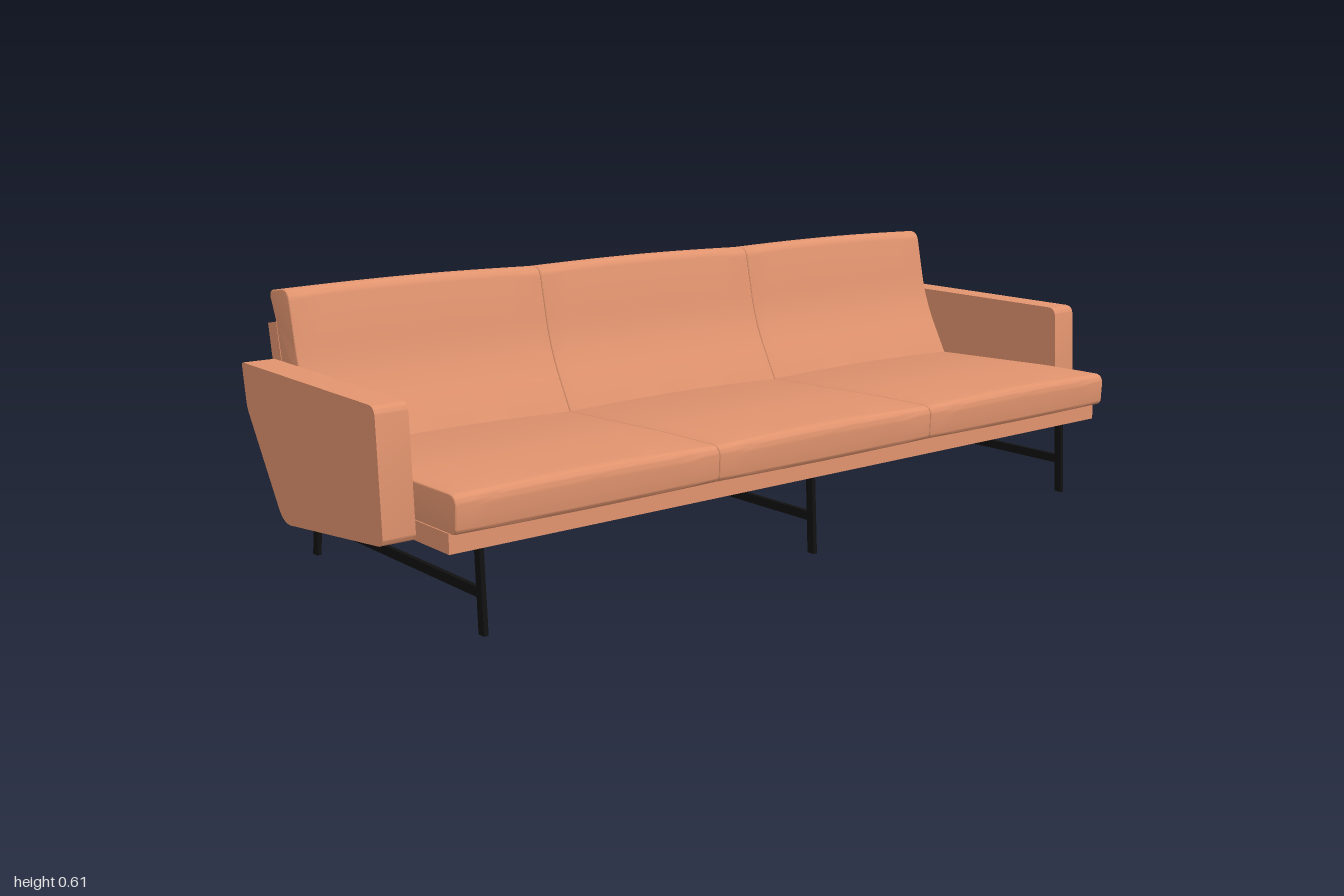
import * as THREE from 'three';
import { toCreasedNormals } from 'three/addons/utils/BufferGeometryUtils.js';

const leather = new THREE.MeshStandardMaterial({ color: 0xe0936e });
const steel = new THREE.MeshStandardMaterial({ color: 0x111111 });

// Side profile from [z, y, cornerRadius] points
function profile(points) {
  const shape = new THREE.Shape();
  const n = points.length;
  const vec = (p) => new THREE.Vector2(-p[0], p[1]);
  points.forEach((p, i) => {
    const c = vec(p), r = p[2] || 0;
    const toward = (q) => c.clone().add(vec(q).sub(c).setLength(r));
    const a = r ? toward(points[(i + n - 1) % n]) : c;
    if (i === 0) shape.moveTo(a.x, a.y);
    else shape.lineTo(a.x, a.y);
    if (r) {
      const b = toward(points[(i + 1) % n]);
      shape.quadraticCurveTo(c.x, c.y, b.x, b.y);
    }
  });
  shape.closePath();
  return shape;
}

// Extrude a side profile across x, centred on x = 0
function across(points, width, bevel = 0, steps = 1) {
  const g = new THREE.ExtrudeGeometry(profile(points), {
    depth: width - 2 * bevel, steps, curveSegments: 8,
    bevelEnabled: bevel > 0, bevelSize: bevel, bevelOffset: -bevel,
    bevelThickness: bevel, bevelSegments: 3,
  });
  g.translate(0, 0, -(width - 2 * bevel) / 2);
  return g.rotateY(Math.PI / 2);
}

// Let a cushion swell towards the middle of its width
function swell(g, width, rule) {
  const p = g.attributes.position;
  const v = new THREE.Vector3();
  for (let i = 0; i < p.count; i++) {
    v.fromBufferAttribute(p, i);
    rule(v, Math.max(0, Math.cos((v.x / width) * Math.PI)));
    p.setXYZ(i, v.x, v.y, v.z);
  }
  return g;
}

export function createModel() {
  const sofa = new THREE.Group();
  sofa.name = 'sofa';

  function add(name, geometry, material, x = 0) {
    const mesh = new THREE.Mesh(toCreasedNormals(geometry, 0.5), material);
    mesh.name = name;
    mesh.position.x = x;
    sofa.add(mesh);
  }

  // Upholstered shell: seat board, sloping underside and back panel
  add('shell', across([
    [0.345, 0.22], [0.345, 0.18], [0.22, 0.18], [-0.185, 0.139, 0.03],
    [-0.343, 0.355, 0.01], [-0.372, 0.523], [-0.333, 0.53], [-0.3, 0.36], [-0.2, 0.22],
  ], 1.86), leather);

  // Armrests
  const arm = [
    [0.213, 0.445, 0.022], [0.226, 0.18, 0.018], [-0.194, 0.135, 0.035],
    [-0.342, 0.355, 0.015], [-0.357, 0.449, 0.008],
  ];
  for (const side of [-1, 1]) {
    add(side > 0 ? 'leftArm' : 'rightArm', across(arm, 0.07), leather, side * 0.965);
  }

  // Three seat and three back cushions
  const w = 0.62;
  const seat = [
    [0.37, 0.22, 0.015], [0.374, 0.297, 0.025], [0.2, 0.296, 0.03],
    [-0.2, 0.282, 0.02], [-0.2, 0.22],
  ];
  const back = [
    [-0.15, 0.265, 0.01], [-0.235, 0.42, 0.07], [-0.274, 0.606, 0.028],
    [-0.363, 0.593, 0.02], [-0.334, 0.53, 0.02], [-0.3, 0.36], [-0.2, 0.23],
  ];
  for (let i = -1; i <= 1; i++) {
    add('seatCushion', swell(across(seat, w, 0.004, 16), w, (v, b) => {
      v.y += 0.1 * b * (v.y - 0.22);
      if (v.z > 0) v.z += 0.02 * b * v.z;
    }), leather, i * w);
    add('backCushion', swell(across(back, w, 0.004, 16), w, (v, b) => {
      v.y += 0.015 * b * Math.max(0, v.y - 0.26);
      if (v.z > -0.29) v.z += 0.005 * b;
    }), leather, i * w);
  }

  // Steel frame: three leg pairs joined by rails
  const t = 0.01;
  for (const x of [-0.845, 0, 0.845]) {
    add('frontLeg', across([[0.327, 0], [0.307, 0], [0.299, 0.18], [0.318, 0.18]], t), steel, x);
    add('backLeg', across([[-0.36, 0], [-0.38, 0], [-0.326, 0.35], [-0.311, 0.33]], t), steel, x);
    add('sideRail', across([[0.315, 0.073], [-0.362, 0.073], [-0.36, 0.093], [0.312, 0.093]], t), steel, x);
    add('mountingPlate', across([[0.326, 0.174], [0.292, 0.174], [0.292, 0.181], [0.326, 0.181]], 0.06), steel, x);
  }
  add('longRail', across([[-0.11, 0.073], [-0.13, 0.073], [-0.13, 0.093], [-0.11, 0.093]], 1.69), steel);

  // Slim braces under the seat
  for (const x of [-0.31, 0.31]) {
    add('underBrace', across([
      [0.25, 0.182], [0.23, 0.179], [0.1, 0.162, 0.03], [0, 0.159], [0, 0.17], [0.22, 0.184],
    ], 0.018), steel, x);
  }
  return sofa;
}
